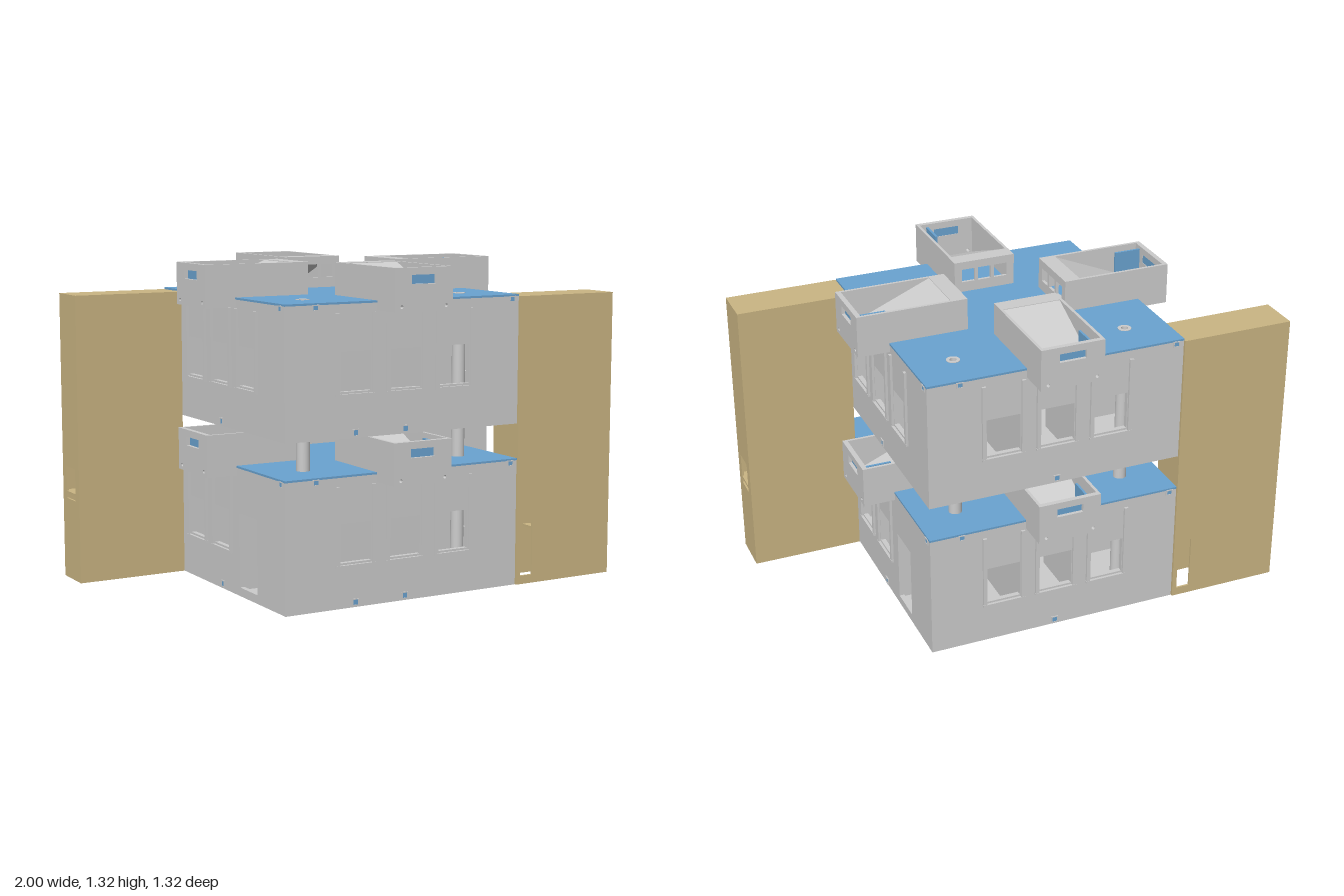
import * as THREE from 'three';

const grey = new THREE.MeshStandardMaterial({ color: 0xcccccc });
grey.name = 'concreteGrey';
const tan = new THREE.MeshStandardMaterial({ color: 0xcab583 });
tan.name = 'towerTan';
const blue = new THREE.MeshStandardMaterial({ color: 0x6aa3d0 });
blue.name = 'roofBlue';

const COLUMN = 0.36; // column offset from the centre on both axes
const STOREY = 0.665; // rise from one storey to the next

function add(parent, name, geometry, material) {
  const mesh = new THREE.Mesh(geometry, material);
  mesh.name = name;
  parent.add(mesh);
  return mesh;
}

// Box given by its extents
function block(parent, name, material, x0, x1, y0, y1, z0, z1) {
  const mesh = add(parent, name, new THREE.BoxGeometry(x1 - x0, y1 - y0, z1 - z0), material);
  mesh.position.set((x0 + x1) / 2, (y0 + y1) / 2, (z0 + z1) / 2);
  return mesh;
}

function rect(Type, x0, x1, y0, y1) {
  return new Type([[x0, y0], [x1, y0], [x1, y1], [x0, y1]].map(p => new THREE.Vector2(...p)));
}

function circleHole(x, y, r) {
  return new THREE.Path().absarc(x, y, r, 0, Math.PI * 2, true);
}

// Upright panel with holes, from z to z + depth
function panel(parent, name, material, [x0, x1, y0, y1], holes, z, depth) {
  const shape = rect(THREE.Shape, x0, x1, y0, y1);
  shape.holes = holes;
  const geo = new THREE.ExtrudeGeometry(shape, { depth, bevelEnabled: false, curveSegments: 10 });
  geo.translate(0, 0, z);
  return add(parent, name, geo, material);
}

// Horizontal plate pierced by the four columns
function plate(parent, name, material, half, y, depth, r) {
  const holes = [];
  for (const a of [-1, 1]) for (const b of [-1, 1]) holes.push(circleHole(a * COLUMN, b * COLUMN, r));
  const mesh = panel(parent, name, material, [-half, half, -half, half], holes, 0, depth);
  mesh.geometry.rotateX(-Math.PI / 2).translate(0, y, 0);
}

// One outside wall, facing +z, with openings, rails and sills
function facade(hasDoor, isFront) {
  const g = new THREE.Group();
  g.name = 'facade';
  const holes = [];
  for (const x of [-0.225, 0, 0.225]) {
    if (hasDoor && x > 0) {
      holes.push(rect(THREE.Path, x - 0.075, x + 0.075, 0.035, 0.335));
      continue;
    }
    holes.push(rect(THREE.Path, x - 0.07, x + 0.07, 0.18, 0.335));
    for (const s of [-1, 1]) {
      block(g, 'shutterRail', grey, x + s * 0.081 - 0.008, x + s * 0.081 + 0.008, 0.165, 0.48, 0.525, 0.542);
    }
    block(g, 'windowSill', grey, x - 0.09, x + 0.09, 0.163, 0.172, 0.525, 0.543);
  }
  panel(g, 'wall', grey, [-0.532, 0.532, 0, 0.517], holes, 0.512, 0.02);

  // Small square fittings
  const marks = [[0.5, 0.505], [-0.4, 0.505], [0, 0.02]];
  if (isFront) marks.push([-0.225, 0.02]);
  for (const [x, y] of marks) {
    const s = y > 0.1 ? 0.008 : 0.01;
    panel(g, 'fittingFrame', grey, [x - 0.015, x + 0.015, y - s - 0.004, y + s + 0.004],
      [rect(THREE.Path, x - 0.01, x + 0.01, y - s, y + s)], 0.53, 0.006);
    block(g, 'fitting', blue, x - 0.01, x + 0.01, y - s, y + s, 0.53, 0.534);
  }
  return g;
}

// Open roof box overhanging the wall, sloping down towards the outside
function roofBox() {
  const g = new THREE.Group();
  g.name = 'roofBox';
  const [y0, y1, z0, z1, w] = [0.485, 0.653, 0.208, 0.662, 0.13];
  for (const s of [-1, 1]) {
    const xs = [s * w, s * (w - 0.012)].sort((a, b) => a - b);
    block(g, 'boxSide', grey, xs[0], xs[1], y0, y1, z0, z1);
  }
  block(g, 'boxBase', grey, -w, w, y0, y0 + 0.01, z0, z1);
  panel(g, 'boxOuterEnd', grey, [-w, w, y0, y1], [
    rect(THREE.Path, -0.055, 0.055, 0.59, 0.625),
    circleHole(-0.1, 0.505, 0.007), circleHole(0.1, 0.505, 0.007)
  ], z1 - 0.02, 0.02);
  const vents = [-0.07, 0, 0.07].map(x => rect(THREE.Path, x - 0.028, x + 0.028, 0.565, 0.62));
  panel(g, 'boxInnerEnd', grey, [-w, w, y0, y1], vents, z0, 0.012);
  block(g, 'boxLedge', grey, -w, w, y1 - 0.008, y1, z0, 0.275);

  // Sloping inner face
  const profile = new THREE.Shape([[0.272, 0.652], [0.272, 0.644], [0.62, 0.497], [0.62, 0.505]]
    .map(p => new THREE.Vector2(...p)));
  const ramp = new THREE.ExtrudeGeometry(profile, { depth: 0.24, bevelEnabled: false });
  ramp.rotateY(-Math.PI / 2).translate(0.12, 0, 0);
  add(g, 'ramp', ramp, grey);

  // Blue fin and the pane behind the slot
  block(g, 'fin', blue, 0.081, 0.09, 0.53, 0.64, 0.53, 0.642);
  block(g, 'slotPane', blue, -0.056, 0.056, 0.589, 0.626, 0.644, 0.648);
  return g;
}

function storey(isGround) {
  const g = new THREE.Group();
  g.name = isGround ? 'lowerStorey' : 'upperStorey';
  plate(g, 'floor', grey, 0.53, 0.001, 0.02, 0.014);
  plate(g, 'roof', blue, 0.533, 0.515, 0.008, 0.026);
  for (let i = 0; i < 4; i++) {
    const side = new THREE.Group();
    side.name = 'side';
    side.add(facade(isGround && i % 2 === 1, i === 0), roofBox());
    // Partitions closing off the corner rooms
    for (const s of [-1, 1]) {
      block(side, 'partition', grey, s * 0.135 - 0.006, s * 0.135 + 0.006, 0.02, 0.515, 0.13, 0.515);
    }
    side.rotation.y = i * Math.PI / 2;
    g.add(side);
  }
  return g;
}

// Hollow stair tower, open underneath
function tower() {
  const g = new THREE.Group();
  g.name = 'stairTower';
  const [x0, x1, z0, z1, h, t] = [0.533, 1, 0.367, 0.541, 1.18, 0.008];
  panel(g, 'towerFront', tan, [x0, x1, 0, h], [rect(THREE.Path, 0.552, 0.61, 0.035, 0.262)], z1 - t, t);
  block(g, 'towerBack', tan, x0, x1, 0, h, z0, z0 + t);
  block(g, 'towerInnerSide', tan, x0, x0 + t, 0, h, z0, z1);
  block(g, 'towerTop', tan, x0, x1, h - t, h, z0, z1);
  const end = panel(g, 'towerEnd', tan, [-z1, -z0, 0, h], [rect(THREE.Path, -0.502, -0.408, 0.335, 0.468)], x1 - t, t);
  end.geometry.rotateY(Math.PI / 2);
  // Steps inside
  for (let i = 0; i < 6; i++) {
    block(g, 'step', tan, 0.68 + i * 0.035, 0.715 + i * 0.035, 0.2 + i * 0.033, 0.21 + i * 0.033, z0, 0.455);
  }
  block(g, 'landing', tan, 0.89, x1, 0.355, 0.365, z0, z1);
  return g;
}

export function createModel() {
  const model = new THREE.Group();
  model.name = 'house';

  const upper = storey(false);
  upper.position.y = STOREY;
  model.add(storey(true), upper);

  // Hollow columns running through both storeys
  const pipe = [[0.014, 0.002], [0.027, 0.002], [0.027, 1.19], [0.014, 1.19], [0.014, 0.002]];
  for (const a of [-1, 1]) for (const b of [-1, 1]) {
    // Split per face so the rims stay sharp
    for (let i = 0; i < 4; i++) {
      const points = [pipe[i], pipe[i + 1]].map(p => new THREE.Vector2(...p));
      add(model, 'column', new THREE.LatheGeometry(points, 20), grey).position.set(a * COLUMN, 0, b * COLUMN);
    }
  }

  // Two towers at opposite corners
  const other = tower();
  other.rotation.y = Math.PI;
  model.add(tower(), other);
  return model;
}
